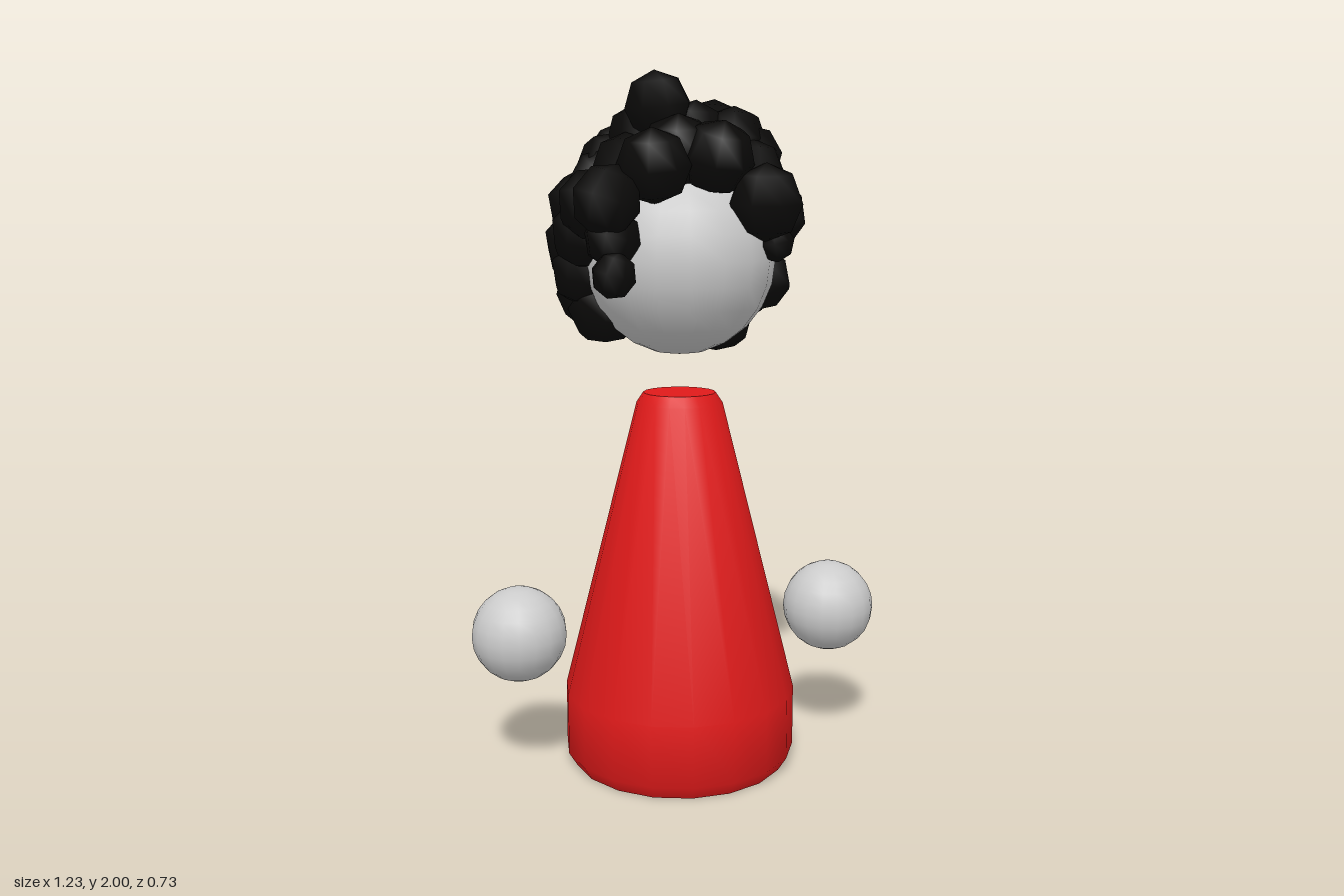
import * as THREE from 'three';
import { toCreasedNormals } from 'three/addons/utils/BufferGeometryUtils.js';

const Z = 0.03; // the figure's own axis sits slightly forward

export function createModel() {
  const model = new THREE.Group();
  const skin = new THREE.MeshStandardMaterial({ color: 0xcccccc });
  const red = new THREE.MeshStandardMaterial({ color: 0xe01a1a });
  const black = new THREE.MeshStandardMaterial({ color: 0x0a0908 });

  const add = (parent, name, geometry, material, x, y, z) => {
    const mesh = new THREE.Mesh(geometry, material);
    mesh.name = name;
    mesh.position.set(x, y, z);
    parent.add(mesh);
    return mesh;
  };

  // Tapered robe with bevelled rims, closed at both ends
  const profile = [[0, 0], [0.315, 0], [0.34, 0.04], [0.34, 0.22], [0.125, 1.075], [0.105, 1.105], [0, 1.105]]
    .map(([r, y]) => new THREE.Vector2(r, y));
  const robe = new THREE.LatheGeometry(profile, 18, Math.PI / 2);
  add(model, 'robe', toCreasedNormals(robe, 0.75), red, 0, 0, Z);

  // Head and floating hands
  add(model, 'head', new THREE.SphereGeometry(0.272, 18, 12), skin, 0, 1.487, Z);
  const hand = new THREE.SphereGeometry(0.137, 18, 12);
  add(model, 'leftHand', hand, skin, 0.478, 0.422, Z - 0.003);
  add(model, 'rightHand', hand, skin, -0.48, 0.422, Z - 0.003);

  // Curly hair made of coarse clumps
  const hair = new THREE.Group();
  hair.name = 'hair';
  model.add(hair);
  const curlShape = new THREE.SphereGeometry(1, 8, 4);
  const curl = (x, y, z, r) => {
    const c = add(hair, 'curl', curlShape, black, x, y, z);
    c.scale.setScalar(r);
    c.rotation.set(z * 2, x * 9, -x * 2);
  };

  // Fringe and crown: x, y, z, radius
  [
    [-0.08, 1.905, 0.085, 0.096], [0.183, 1.645, 0.235, 0.107], [-0.255, 1.65, 0.21, 0.1],
    [-0.245, 1.455, 0.24, 0.064], [-0.235, 1.55, 0.19, 0.08], [0.225, 1.535, 0.195, 0.055],
    [0.05, 1.765, 0.215, 0.103], [-0.13, 1.74, 0.22, 0.103], [0.14, 1.815, 0.08, 0.096],
    [0.19, 1.765, 0.08, 0.096], [0.17, 1.72, 0.15, 0.1], [-0.17, 1.735, 0.1, 0.1],
    [-0.04, 1.78, 0.15, 0.105], [0.03, 1.825, 0.06, 0.1],
  ].forEach((c) => curl(...c));

  // Sides and nape
  [
    [0.28, 1.61, 0.02, 0.104], [0.275, 1.42, -0.06, 0.096], [0.165, 1.305, -0.12, 0.106],
    [0.25, 1.55, -0.12, 0.104], [0.2, 1.73, -0.03, 0.096], [0.23, 1.68, 0.05, 0.095],
    [-0.265, 1.64, 0.09, 0.1], [-0.265, 1.56, 0.01, 0.102], [-0.26, 1.45, -0.05, 0.096],
    [-0.2, 1.345, -0.05, 0.106], [-0.22, 1.69, 0, 0.1],
  ].forEach((c) => curl(...c));

  // Rings of curls wrapping the back of the head
  [
    { y: 1.39, r: 0.265, n: 5, spread: 1.0 },
    { y: 1.51, r: 0.285, n: 5, spread: 1.1 },
    { y: 1.635, r: 0.275, n: 6, spread: 1.2 },
    { y: 1.755, r: 0.19, n: 5, spread: 1.3 },
    { y: 1.81, r: 0.1, n: 4, spread: 1.5 },
  ].forEach(({ y, r, n, spread }, row) => {
    for (let i = 0; i < n; i++) {
      const a = -spread + (2 * spread * i) / (n - 1);
      const wobble = 0.015 * Math.sin(i * 2.4 + row * 1.7);
      curl(r * Math.sin(a), y + wobble, 0.02 - r * Math.cos(a), 0.104 + wobble / 3);
    }
  });

  return model;
}
